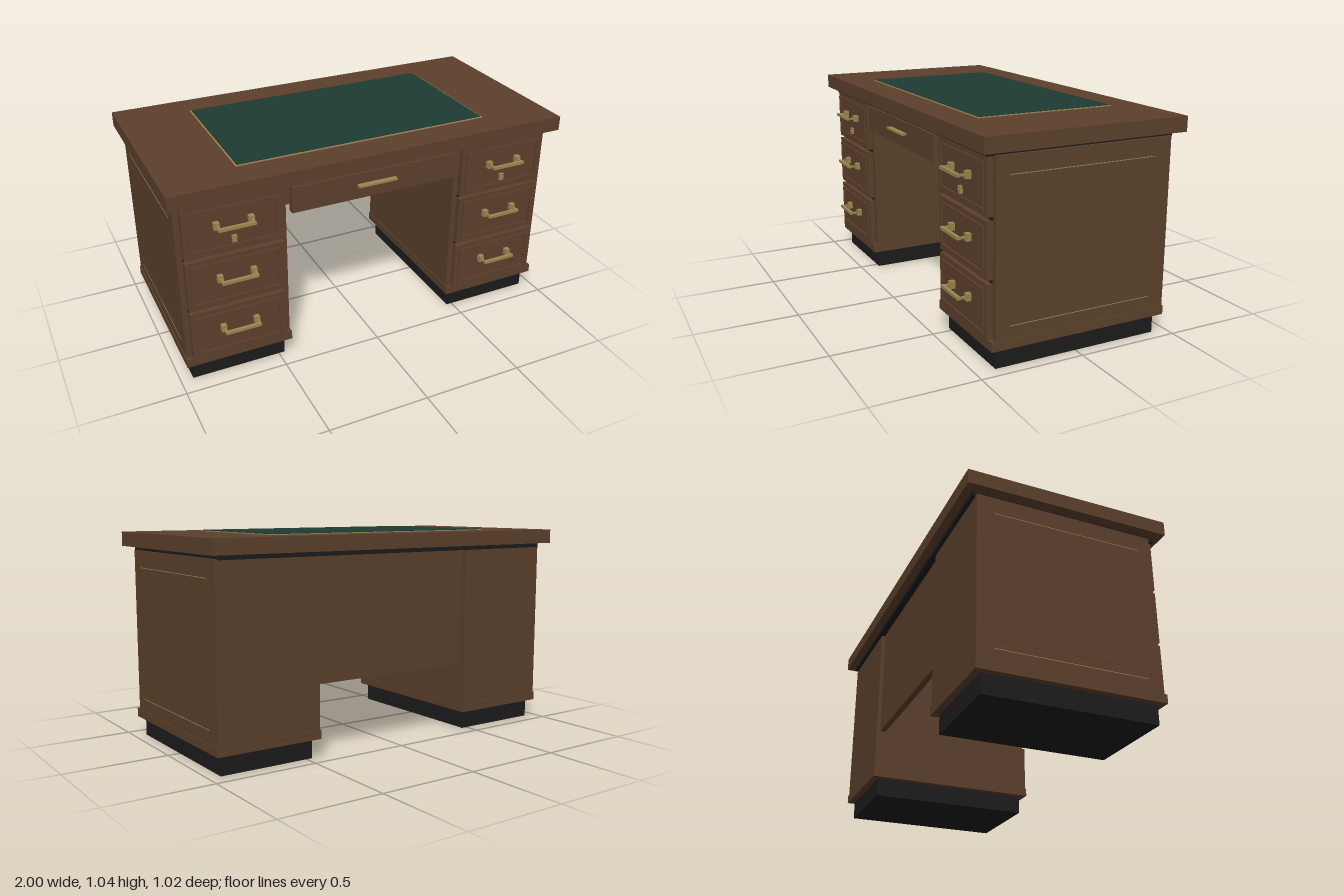
import * as THREE from 'three';

const material = (color) => new THREE.MeshStandardMaterial({ color });
const wood = material(0x5c402b);
const black = material(0x1c1c1c);
const leather = material(0x1e3b34);
const brass = material(0x9c8650);

// Box given by its [min, max] range on each axis
function box(parent, name, mat, [x0, x1], [y0, y1], [z0, z1]) {
  const mesh = new THREE.Mesh(new THREE.BoxGeometry(x1 - x0, y1 - y0, z1 - z0), mat);
  mesh.position.set((x0 + x1) / 2, (y0 + y1) / 2, (z0 + z1) / 2);
  mesh.name = name;
  parent.add(mesh);
  return mesh;
}

// Rectangular moulding with an open centre, lying in the xy plane
function frame(parent, name, mat, w, h, border, depth, x, y, z) {
  const rect = (Type, a, b) => new Type([
    new THREE.Vector2(-a, -b), new THREE.Vector2(a, -b),
    new THREE.Vector2(a, b), new THREE.Vector2(-a, b),
  ]);
  const shape = rect(THREE.Shape, w / 2, h / 2);
  shape.holes.push(rect(THREE.Path, w / 2 - border, h / 2 - border));
  const mesh = new THREE.Mesh(new THREE.ExtrudeGeometry(shape, { depth, bevelEnabled: false }), mat);
  mesh.position.set(x, y, z);
  mesh.name = name;
  parent.add(mesh);
}

// Bar pull: two square plates, two posts and a bar
function createPull() {
  const pull = new THREE.Group();
  pull.name = 'drawerPull';
  for (const x of [-0.081, 0.081]) {
    box(pull, 'pullPlate', brass, [x - 0.013, x + 0.013], [-0.017, 0.017], [0, 0.024]);
    box(pull, 'pullPost', brass, [x - 0.005, x + 0.005], [-0.005, 0.005], [0.02, 0.055]);
  }
  box(pull, 'pullBar', brass, [-0.087, 0.087], [-0.007, 0.007], [0.049, 0.065]);
  return pull;
}

// Drawer front with moulding, pull and optional lock
function createDrawer(y0, y1, hasLock) {
  const drawer = new THREE.Group();
  drawer.name = 'drawer';
  const mid = (y0 + y1) / 2;
  box(drawer, 'drawerFront', wood, [-0.233, 0.233], [y0, y1], [0.41, 0.446]);
  frame(drawer, 'drawerMoulding', wood, 0.424, y1 - y0 - 0.046, 0.012, 0.008, 0, mid, 0.446);
  const pull = createPull();
  pull.position.set(0, mid + 0.022, 0.446);
  drawer.add(pull);
  if (hasLock) {
    box(drawer, 'lockPlate', brass, [-0.011, 0.011], [mid - 0.08, mid - 0.046], [0.446, 0.459]);
    const keyhole = new THREE.Mesh(new THREE.CylinderGeometry(0.005, 0.005, 0.006, 12), brass);
    keyhole.rotation.x = Math.PI / 2;
    keyhole.position.set(0, mid - 0.063, 0.461);
    keyhole.name = 'lockBarrel';
    drawer.add(keyhole);
  }
  return drawer;
}

// Pedestal centred on its own x = 0; side is +1 for the left one
function createPedestal(side) {
  const pedestal = new THREE.Group();
  pedestal.name = side > 0 ? 'leftPedestal' : 'rightPedestal';
  box(pedestal, 'plinth', black, [-0.235, 0.235], [0, 0.095], [-0.424, 0.404]);
  box(pedestal, 'baseMoulding', wood, [-0.265, 0.265], [0.095, 0.138], [-0.458, 0.437]);
  box(pedestal, 'carcass', wood, [-0.26, 0.26], [0.138, 0.94], [-0.454, 0.418]);

  // Three drawers with dark gaps between them
  pedestal.add(createDrawer(0.136, 0.39, false));
  pedestal.add(createDrawer(0.407, 0.663, false));
  pedestal.add(createDrawer(0.68, 0.935, true));
  for (const [y0, y1] of [[0.39, 0.407], [0.663, 0.68]]) {
    box(pedestal, 'drawerGap', black, [-0.233, 0.233], [y0, y1], [0.41, 0.42]);
  }

  // Fine inlay lines on the outer side
  for (const [y, mat] of [[0.857, brass], [0.24, wood], [0.198, brass]]) {
    const line = box(pedestal, 'sideInlay', mat, [-0.001, 0.001], [y - 0.0015, y + 0.0015], [-0.372, 0.352]);
    line.position.x = side * 0.2605;
  }
  pedestal.position.x = side * 0.705;
  return pedestal;
}

export function createModel() {
  const desk = new THREE.Group();
  desk.name = 'desk';

  // Desktop with a framed writing surface
  box(desk, 'deskTop', wood, [-1, 1], [0.959, 1.03], [-0.51, 0.49]);
  box(desk, 'topRecess', black, [-0.95, 0.95], [0.937, 0.959], [-0.47, 0.451]);
  box(desk, 'writingSurfaceTrim', brass, [-0.642, 0.642], [1.03, 1.034], [-0.356, 0.336]);
  box(desk, 'writingSurface', leather, [-0.635, 0.635], [1.03, 1.037], [-0.349, 0.329]);

  for (const side of [-1, 1]) desk.add(createPedestal(side));

  // Centre drawer and modesty panel across the kneehole
  box(desk, 'centreDrawerFront', wood, [-0.425, 0.425], [0.8, 0.928], [0.415, 0.448]);
  box(desk, 'centreDrawerPull', brass, [-0.1, 0.1], [0.866, 0.876], [0.448, 0.473]);
  box(desk, 'modestyPanel', wood, [-0.428, 0.428], [0.348, 0.94], [-0.438, -0.408]);

  return desk;
}
